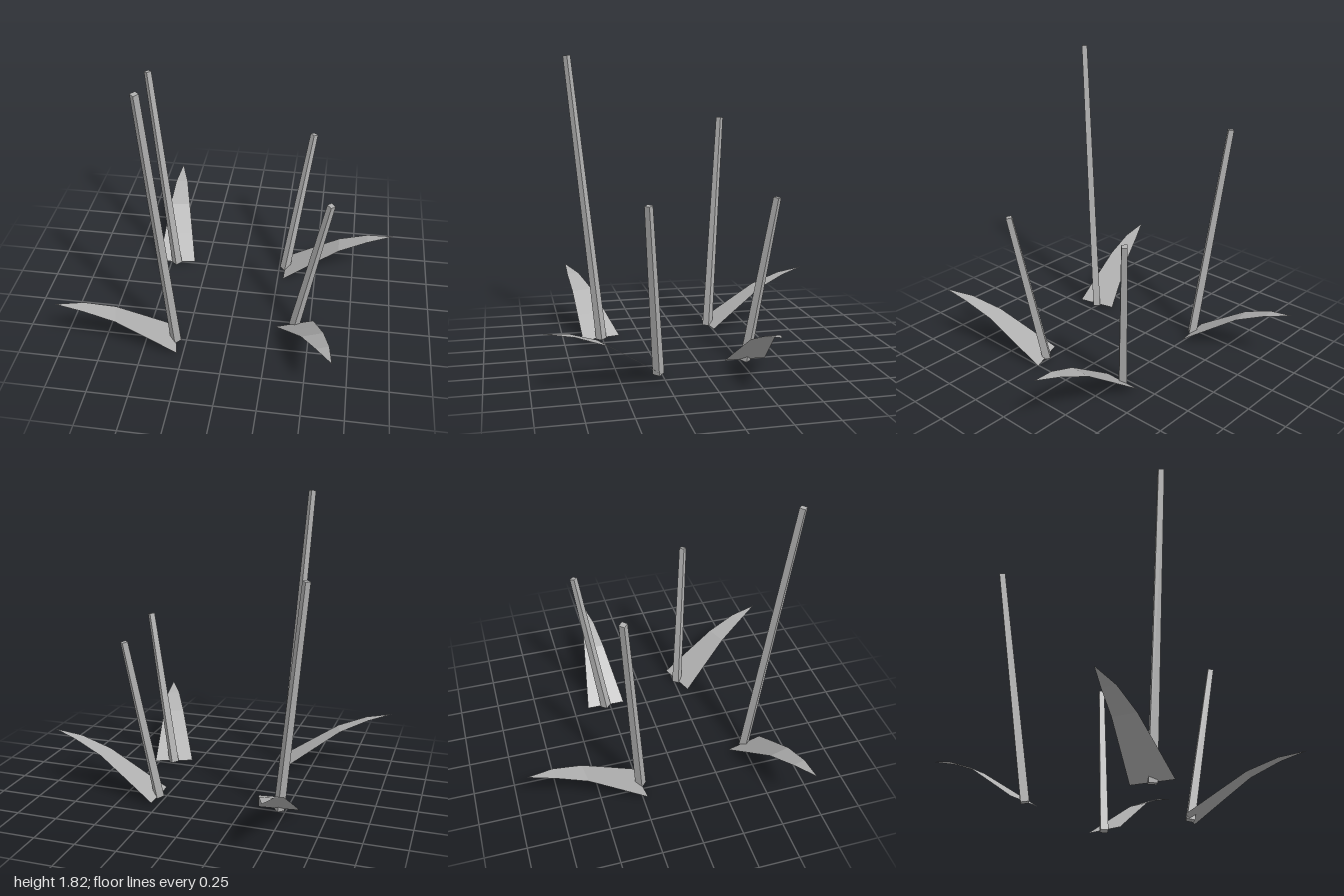
import * as THREE from 'three';

// Leaf stations: distance outward, height, width
const LEAF = [
  [0, 0.012, 0.25],
  [0.175, 0.13, 0.195],
  [0.355, 0.25, 0.138],
  [0.54, 0.325, 0.082],
  [0.705, 0.362, 0],
];

// Each plant: shared base point, leaf tip direction, stalk top
const PLANTS = [
  { name: 'backLeftPlant', base: [-0.46, -0.235], leafTip: [-0.54, -0.93], top: [-0.617, 1.412, -0.355] },
  { name: 'backRightPlant', base: [0.29, -0.28], leafTip: [1.0, -0.27], top: [0.434, 1.009, -0.42] },
  { name: 'frontLeftPlant', base: [-0.315, 0.51], leafTip: [-1.0, 0.68], top: [-0.415, 1.817, 0.687] },
  { name: 'frontRightPlant', base: [0.403, 0.27], leafTip: [0.655, 0.93], top: [0.583, 1.009, 0.352] },
];

// Flat blade arching outward along +z and narrowing to a point
function leafGeometry() {
  const geo = new THREE.PlaneGeometry(1, 1, 1, LEAF.length - 1);
  const pos = geo.attributes.position;
  for (let i = 0; i < pos.count; i++) {
    const [out, height, width] = LEAF[LEAF.length - 1 - Math.floor(i / 2)];
    pos.setXYZ(i, -pos.getX(i) * width, height, out);
  }
  geo.computeVertexNormals();
  return geo;
}

// Four-sided stalk, slightly tapered, leaning from its base to its top
function makeStalk(base, top, material) {
  const lean = top.clone().sub(base);
  const geo = new THREE.CylinderGeometry(0.024, 0.034, lean.length(), 4);
  const stalk = new THREE.Mesh(geo, material);
  stalk.position.copy(base).add(top).multiplyScalar(0.5);
  stalk.quaternion.setFromUnitVectors(new THREE.Vector3(0, 1, 0), lean.normalize());
  return stalk;
}

export function createModel() {
  const grey = new THREE.MeshStandardMaterial({
    name: 'plantGrey', color: 0xb0b0b0, flatShading: true, side: THREE.DoubleSide,
  });
  const model = new THREE.Group();
  model.name = 'stalksAndLeaves';
  const leafGeo = leafGeometry();

  for (const p of PLANTS) {
    const plant = new THREE.Group();
    plant.name = p.name;
    const [x, z] = p.base;

    const leaf = new THREE.Mesh(leafGeo, grey);
    leaf.name = 'leaf';
    leaf.position.set(x, 0, z);
    leaf.rotation.y = Math.atan2(p.leafTip[0] - x, p.leafTip[1] - z);

    const stalk = makeStalk(new THREE.Vector3(x, 0.006, z), new THREE.Vector3(...p.top), grey);
    stalk.name = 'stalk';

    plant.add(leaf, stalk);
    model.add(plant);
  }
  return model;
}
